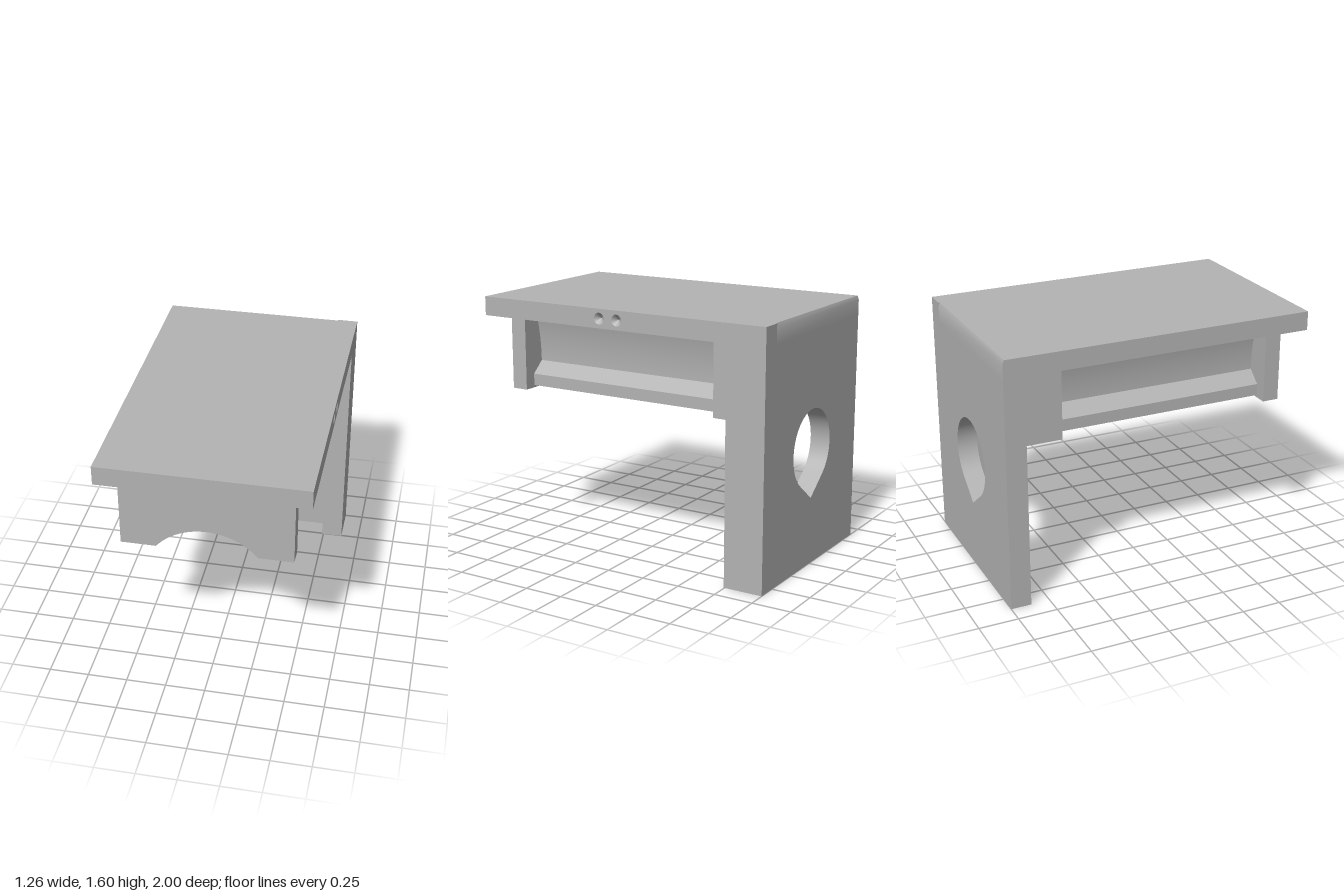
import * as THREE from 'three';
import { toCreasedNormals } from 'three/addons/utils/BufferGeometryUtils.js';

const grey = new THREE.MeshStandardMaterial({ color: 0xb3b3b3 });
grey.name = 'grey';

const BACK = -1, PLATE_FRONT = -0.87, HALF = 0.63;
const SLAB_BOTTOM = 1.48, TOP = 1.6;

function add(group, name, geometry) {
  const mesh = new THREE.Mesh(geometry, grey);
  mesh.name = name;
  group.add(mesh);
  return mesh;
}

// Front-facing outline swept from z0 to z1
function alongZ(shape, z0, z1) {
  const g = new THREE.ExtrudeGeometry(shape, { depth: z1 - z0, bevelEnabled: false, curveSegments: 40 });
  return toCreasedNormals(g.translate(0, 0, z0), 0.4);
}

// Side outline (drawn as -z, y) swept from x0 to x1
function alongX(shape, x0, x1) {
  const g = new THREE.ExtrudeGeometry(shape, { depth: x1 - x0, bevelEnabled: false, curveSegments: 16 });
  return toCreasedNormals(g.rotateY(Math.PI / 2).translate(x0, 0, 0), 0.4);
}

function polygon(points) {
  return new THREE.Shape(points.map(([x, y]) => new THREE.Vector2(x, y)));
}

// Arched underside running left to right
function archTo(shape, radius) {
  const cy = 0.752;
  const a = Math.asin((1 - cy) / radius);
  shape.lineTo(-radius * Math.cos(a), 1);
  shape.absarc(0, cy, radius, Math.PI - a, a, true);
}

export function createModel() {
  const model = new THREE.Group();
  model.name = 'wallBracket';

  // Top slab: long section with a fine rear chamfer, and an end section with two dimples
  add(model, 'topSlab', alongX(polygon([
    [-1, SLAB_BOTTOM], [1, SLAB_BOTTOM], [1, TOP - 0.025], [0.99, TOP], [-1, TOP],
  ]), -HALF, 0.5));
  const end = polygon([[-1, SLAB_BOTTOM], [1, SLAB_BOTTOM], [1, TOP], [-1, TOP]]);
  const dimpleRadius = 0.036, dimpleDepth = 0.03;
  for (const z of [0.13, 0.005]) {
    const hole = new THREE.Path();
    hole.absarc(-z, 1.54, dimpleRadius, 0, Math.PI * 2, true);
    end.holes.push(hole);
    // Cone-shaped recess, opening towards +x
    const profile = [new THREE.Vector2(dimpleRadius, 0), new THREE.Vector2(0, -dimpleDepth)];
    const cone = new THREE.LatheGeometry(profile, 32);
    cone.rotateZ(-Math.PI / 2).translate(HALF, 1.54, z);
    add(model, 'dimple', cone).material = dimpleMaterial;
  }
  add(model, 'topSlabEnd', alongX(end, 0.5, HALF));

  // Back plate with a teardrop opening
  const plate = polygon([[-HALF, 0], [HALF, 0], [HALF, SLAB_BOTTOM], [-HALF, SLAB_BOTTOM]]);
  const cy = 0.745, r = 0.252, tip = 0.43;
  const spread = Math.acos(r / (cy - tip));
  const drop = new THREE.Path();
  drop.moveTo(0, tip);
  drop.absarc(0, cy, r, -Math.PI / 2 - spread, -Math.PI / 2 + spread, true);
  drop.lineTo(0, tip);
  plate.holes.push(drop);
  add(model, 'backPlate', alongZ(plate, BACK, PLATE_FRONT));

  // Stiffening rib down one edge of the back plate
  const rib = new THREE.BoxGeometry(0.14, SLAB_BOTTOM, 0.125);
  rib.translate(HALF - 0.07, SLAB_BOTTOM / 2, PLATE_FRONT + 0.0625);
  add(model, 'sideRib', rib);

  // Arched end cheeks
  const cheek = new THREE.Shape();
  cheek.moveTo(-0.52, 1);
  archTo(cheek, 0.393);
  cheek.lineTo(0.52, 1);
  cheek.lineTo(0.52, SLAB_BOTTOM);
  cheek.lineTo(-0.52, SLAB_BOTTOM);
  add(model, 'frontCheek', alongZ(cheek, 0.775, 0.88));
  add(model, 'rearCheek', alongZ(cheek, PLATE_FRONT, -0.6));

  // Arched core with a flanged foot and hollowed sides
  const core = new THREE.Shape();
  core.moveTo(-0.44, 1.015);
  archTo(core, 0.378);
  core.lineTo(0.44, 1.015);
  core.lineTo(0.44, 1.09);
  core.lineTo(0.355, 1.165);
  core.quadraticCurveTo(0.355, 1.33, 0.4, SLAB_BOTTOM);
  core.lineTo(-0.4, SLAB_BOTTOM);
  core.quadraticCurveTo(-0.355, 1.33, -0.355, 1.165);
  core.lineTo(-0.44, 1.09);
  add(model, 'archedCore', alongZ(core, -0.6, 0.775));

  return model;
}

// Same grey, seen from both sides of the thin recess surface
const dimpleMaterial = grey.clone();
dimpleMaterial.side = THREE.DoubleSide;
